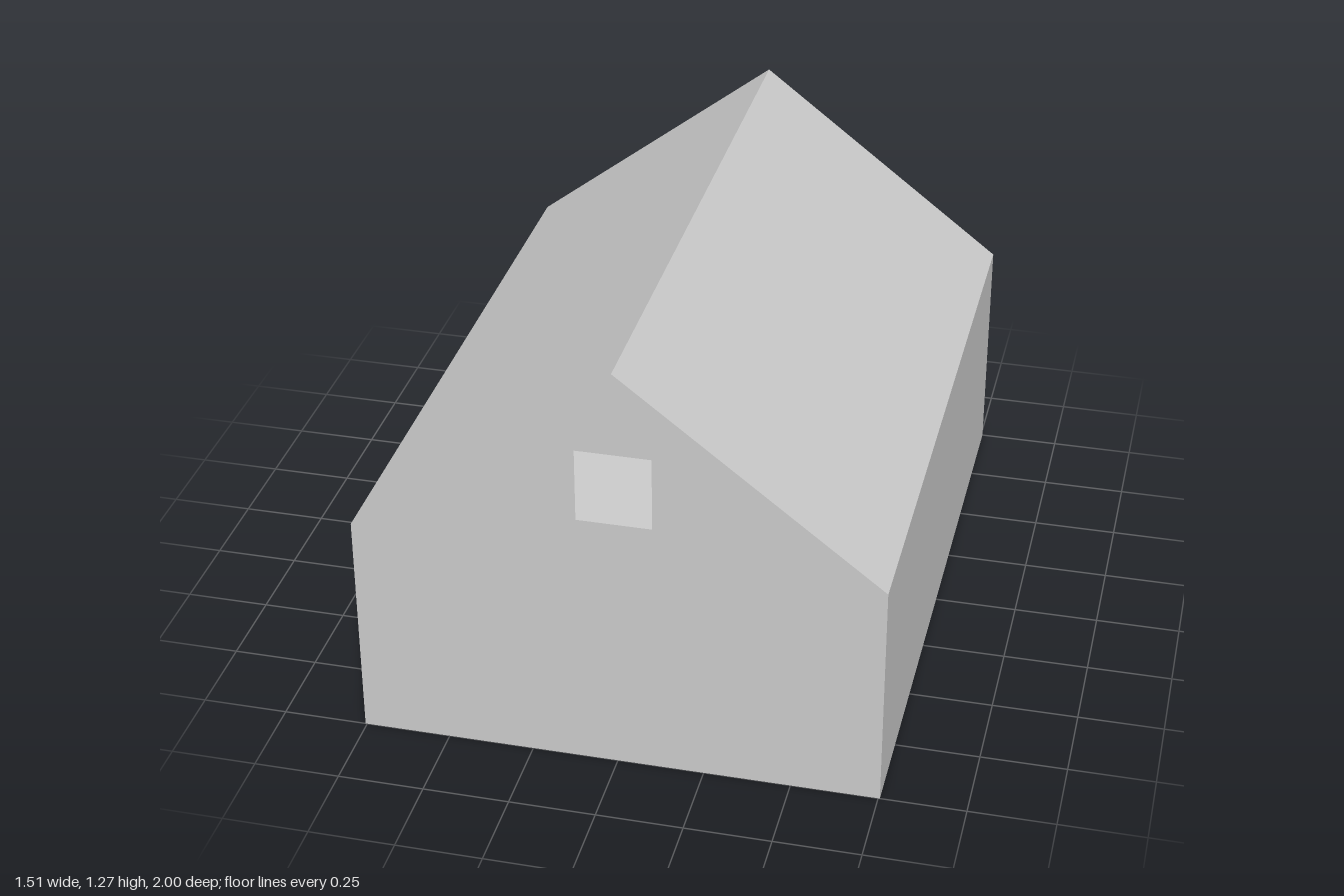
import * as THREE from 'three';

const W = 0.755, D = 1, EAVE = 0.69, RIDGE = 1.27;
const PARTITION_Z = 0.31;

const material = new THREE.MeshStandardMaterial({
  color: 0xcccccc, flatShading: true, side: THREE.DoubleSide,
});

// Flat panel from an outline, with rectangular openings [x0, y0, x1, y1]
function panel(name, points, openings = []) {
  const toShape = (p, Type) => new Type(p.map(([x, y]) => new THREE.Vector2(x, y)));
  const shape = toShape(points, THREE.Shape);
  for (const [x0, y0, x1, y1] of openings) {
    shape.holes.push(toShape([[x0, y0], [x0, y1], [x1, y1], [x1, y0]], THREE.Path));
  }
  const mesh = new THREE.Mesh(new THREE.ShapeGeometry(shape), material);
  mesh.name = name;
  return mesh;
}

const rect = (x0, y0, x1, y1) => [[x0, y0], [x1, y0], [x1, y1], [x0, y1]];

export function createModel() {
  const house = new THREE.Group();
  house.name = 'house';

  // Gable walls: the front one has a loft window
  const gable = [[-W, 0], [W, 0], [W, EAVE], [0, RIDGE], [-W, EAVE]];
  const front = panel('frontGable', gable, [[-0.107, 0.8, 0.107, 1.02]]);
  front.position.z = D;
  const back = panel('backGable', gable);
  back.rotation.y = Math.PI;
  back.position.z = -D;

  // Plain long wall
  const plainWall = panel('leftWall', rect(-D, 0, D, EAVE));
  plainWall.rotation.y = Math.PI / 2;
  plainWall.position.x = W;

  // Long wall with a doorway cut down to the floor and a window; panel x runs along +z
  const doorWall = panel('rightWall', [
    [-D, 0], [-0.816, 0], [-0.816, 0.485], [-0.603, 0.485], [-0.603, 0],
    [D, 0], [D, EAVE], [-D, EAVE],
  ], [[-0.425, 0.31, 0.14, 0.54]]);
  doorWall.rotation.y = -Math.PI / 2;
  doorWall.position.x = -W;

  // Two roof slopes meeting at the ridge
  const slope = Math.hypot(W, RIDGE - EAVE);
  const pitch = Math.atan2(RIDGE - EAVE, W);
  for (const side of [1, -1]) {
    const roof = panel(side > 0 ? 'leftRoof' : 'rightRoof', rect(-slope / 2, -D, slope / 2, D));
    roof.geometry.rotateX(-Math.PI / 2).rotateZ(-side * pitch);
    roof.position.set(side * W / 2, (EAVE + RIDGE) / 2, 0);
    house.add(roof);
  }

  // Ground floor and loft floor
  for (const [name, y] of [['groundFloor', 0], ['loftFloor', EAVE]]) {
    const floor = panel(name, rect(-W, -D, W, D));
    floor.rotation.x = y === 0 ? Math.PI / 2 : -Math.PI / 2;
    floor.position.y = y;
    house.add(floor);
  }

  // Inner wall dividing the ground floor
  const partition = panel('partitionWall', rect(-W, 0, W, EAVE));
  partition.position.z = PARTITION_Z;

  house.add(front, back, plainWall, doorWall, partition);
  return house;
}
